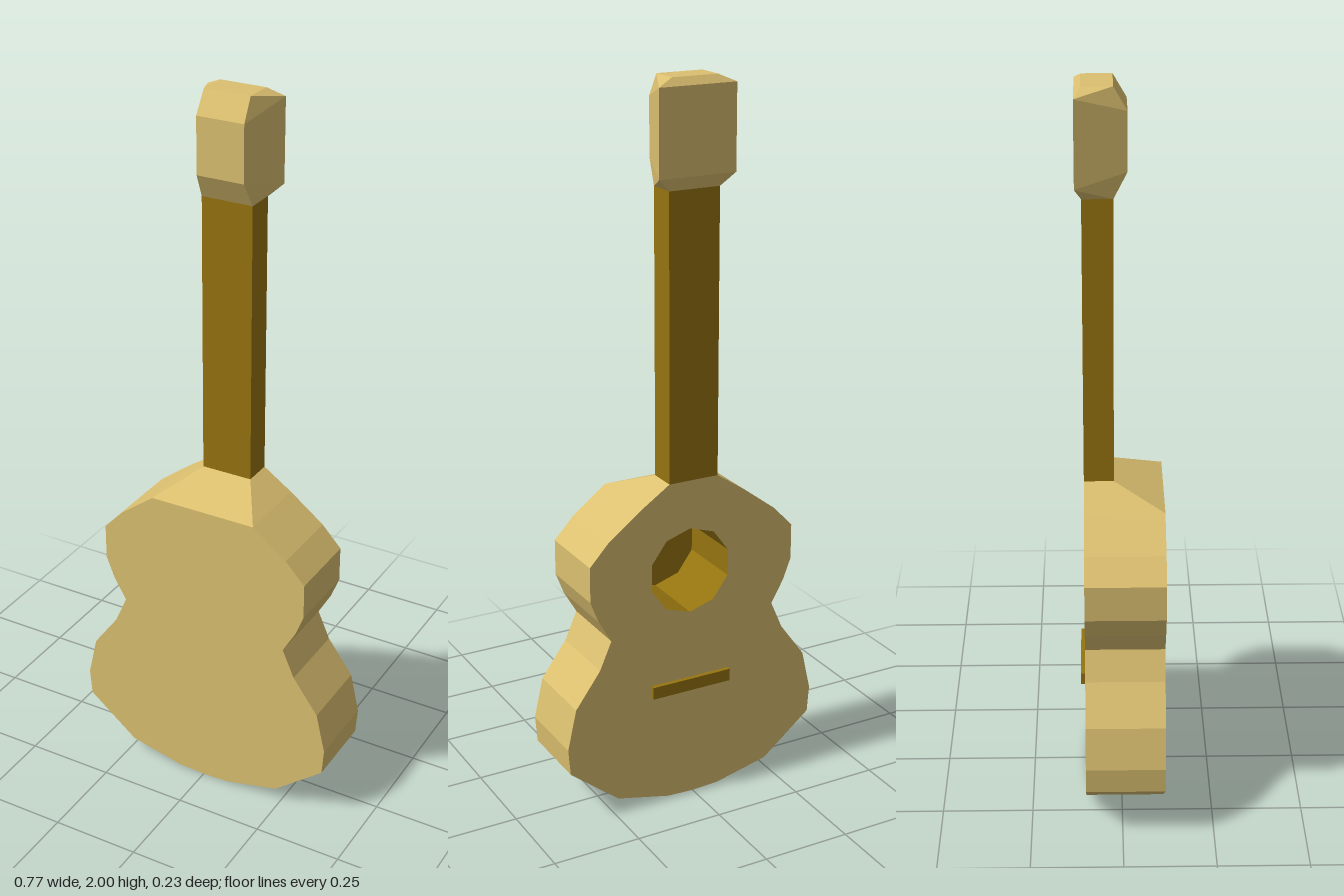
import * as THREE from 'three';
import { ConvexGeometry } from 'three/addons/geometries/ConvexGeometry.js';

const BACK = -0.1, FRONT = 0.115, HEEL = -0.02; // z planes of the body and neck heel
const HOLE = { x: 0.01, y: 0.68, r: 0.123, sides: 10, depth: 0.2 };

// Right-hand half of the body outline, bottom to top
const HALF = [
  [0.08, 0.004], [0.235, 0.04], [0.378, 0.155], [0.384, 0.23], [0.358, 0.345],
  [0.285, 0.445], [0.25, 0.525], [0.287, 0.59], [0.31, 0.65], [0.31, 0.75],
  [0.254, 0.81], [0.155, 0.885], [0.073, 0.94],
];

const v2 = ([x, y]) => new THREE.Vector2(x, y);
const mirrorOutline = (half) =>
  [[0, 0], ...half, ...half.map(([x, y]) => [-x, y]).reverse()];

function material(color, side = THREE.FrontSide) {
  return new THREE.MeshStandardMaterial({ color, flatShading: true, side });
}

function mesh(name, geometry, mat) {
  const m = new THREE.Mesh(geometry, mat);
  m.name = name;
  return m;
}

// Walls around the outline, plus the sloped shoulder below the neck
function wallGeometry() {
  const ring = mirrorOutline(HALF);
  const frontZ = (y) => (y > 0.9 ? HEEL : FRONT);
  const pos = [];
  const quad = (a, b, c, d) => pos.push(...a, ...b, ...c, ...a, ...c, ...d);
  ring.forEach(([x, y], i) => {
    const [u, v] = ring[(i + 1) % ring.length];
    quad([x, y, BACK], [u, v, BACK], [u, v, frontZ(v)], [x, y, frontZ(y)]);
  });
  const [lx, ly] = HALF[HALF.length - 2];
  const [tx, ty] = HALF[HALF.length - 1];
  quad([-lx, ly, FRONT], [lx, ly, FRONT], [tx, ty, HEEL], [-tx, ty, HEEL]);
  const g = new THREE.BufferGeometry();
  g.setAttribute('position', new THREE.Float32BufferAttribute(pos, 3));
  g.computeVertexNormals();
  return g;
}

// Flat panel with the round opening, turned to face -z
function soundboardGeometry() {
  const shape = new THREE.Shape(mirrorOutline(HALF).map(v2));
  const rim = [];
  for (let i = 0; i < HOLE.sides; i++) {
    const a = Math.PI / 2 - (i / HOLE.sides) * Math.PI * 2;
    rim.push(new THREE.Vector2(-HOLE.x + HOLE.r * Math.cos(a), HOLE.y + HOLE.r * Math.sin(a)));
  }
  shape.holes.push(new THREE.Path(rim));
  return new THREE.ShapeGeometry(shape).rotateY(Math.PI).translate(0, 0, BACK);
}

// Faceted block: four rectangles wrapped in a convex skin
function headstockGeometry() {
  const pts = [];
  const add = (hx, ys, zs) => {
    for (const s of [-1, 1]) for (const y of ys) for (const z of zs)
      pts.push(new THREE.Vector3(s * hx, y, z));
  };
  add(0.11, [1.755, 1.98], [-0.117]);
  add(0.067, [1.787, 1.94], [0.015]);
  add(0.065, [2], [-0.1, -0.02]);
  add(0.073, [1.72], [-0.1, -0.02]);
  return new ConvexGeometry(pts);
}

export function createModel() {
  const pale = material(0xdcc070);
  const dark = material(0x967410);
  const model = new THREE.Group();
  model.name = 'guitar';

  // Hollow body
  const body = new THREE.Group();
  body.name = 'body';
  const backOutline = mirrorOutline(HALF.slice(0, -1)).map(v2);
  const backPanel = new THREE.ShapeGeometry(new THREE.Shape(backOutline)).translate(0, 0, FRONT);
  body.add(
    mesh('bodySides', wallGeometry(), pale),
    mesh('backPanel', backPanel, pale),
    mesh('soundboard', soundboardGeometry(), pale),
  );

  // Dark lining and floor of the sound hole
  const lining = new THREE.CylinderGeometry(HOLE.r, HOLE.r, HOLE.depth, HOLE.sides, 1, true)
    .rotateX(Math.PI / 2).translate(HOLE.x, HOLE.y, BACK + HOLE.depth / 2);
  const floor = new THREE.CircleGeometry(HOLE.r, HOLE.sides, Math.PI / 2)
    .rotateY(Math.PI).translate(HOLE.x, HOLE.y, BACK + HOLE.depth);
  body.add(
    mesh('soundHoleLining', lining, material(0x967410, THREE.BackSide)),
    mesh('soundHoleFloor', floor, dark),
  );

  // Bridge, neck and headstock
  const bridge = new THREE.BoxGeometry(0.24, 0.035, 0.02).translate(0.01, 0.343, -0.103);
  const neck = new THREE.BoxGeometry(0.146, 0.78, 0.08).translate(0, 1.33, -0.06);
  model.add(
    body,
    mesh('bridge', bridge, dark),
    mesh('neck', neck, dark),
    mesh('headstock', headstockGeometry(), pale),
  );
  return model;
}
